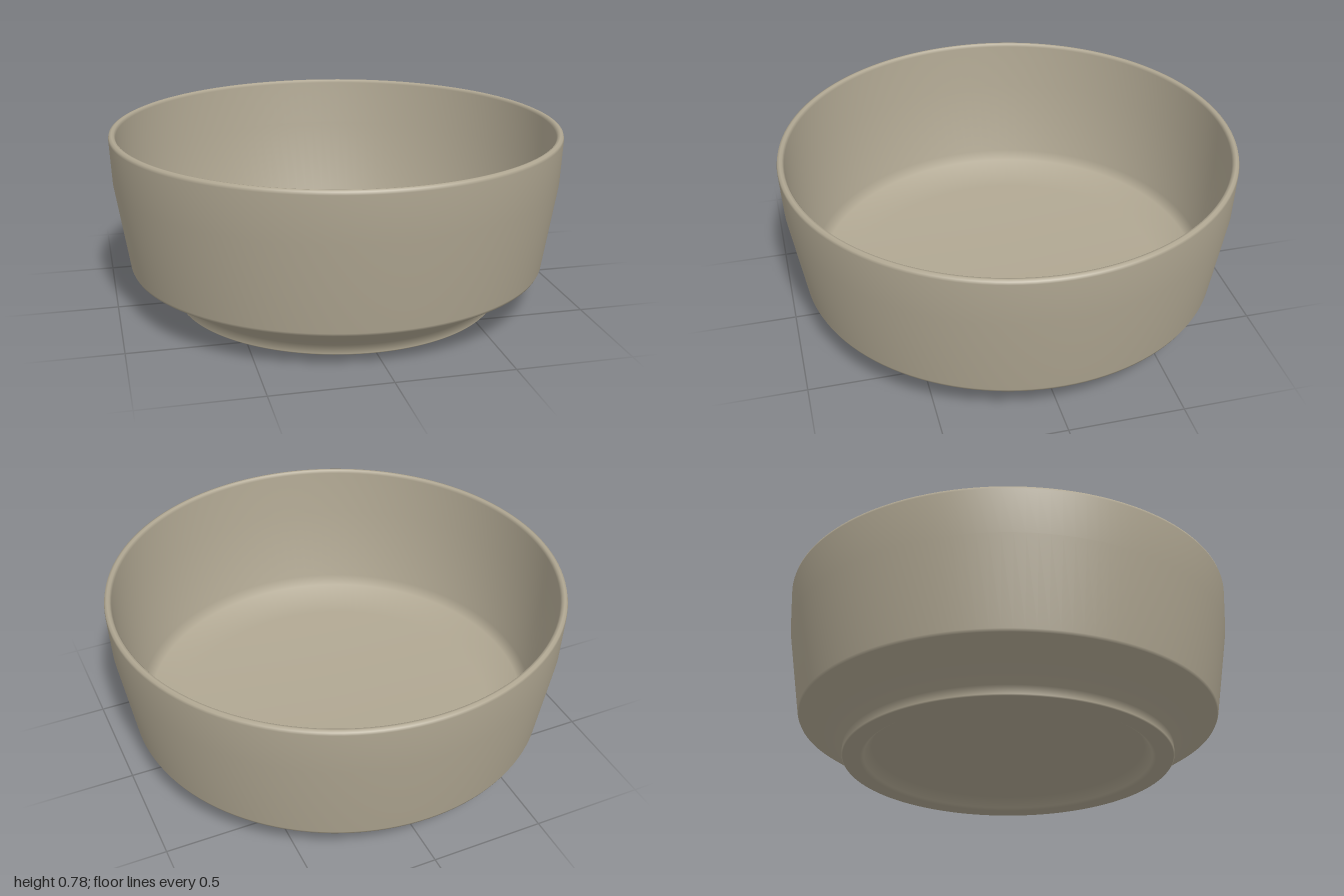
import * as THREE from 'three';

export function createModel() {
  const group = new THREE.Group();
  group.name = 'bowl';
  const ceramic = new THREE.MeshStandardMaterial({ color: 0xb0a792 });
  ceramic.name = 'stoneware';

  // One closed profile: underside, foot, outer wall, rim, inner wall, floor
  const profile = [
    // recessed underside and foot ring
    [0, 0.055], [0.6, 0.055], [0.635, 0.01], [0.65, 0], [0.725, 0], [0.73, 0.006], [0.73, 0.045],
    // outer wall
    [0.925, 0.172], [0.931, 0.185], [0.99, 0.57], [0.999, 0.765],
    // rounded rim
    [0.996, 0.777], [0.985, 0.782], [0.975, 0.78], [0.967, 0.768],
    // inner wall and floor
    [0.957, 0.56], [0.9, 0.2], [0.86, 0.165], [0.71, 0.1], [0, 0.1],
  ].map(([r, y]) => new THREE.Vector2(r, y));

  const body = new THREE.Mesh(new THREE.LatheGeometry(profile, 128), ceramic);
  body.name = 'bowlBody';
  group.add(body);
  return group;
}
